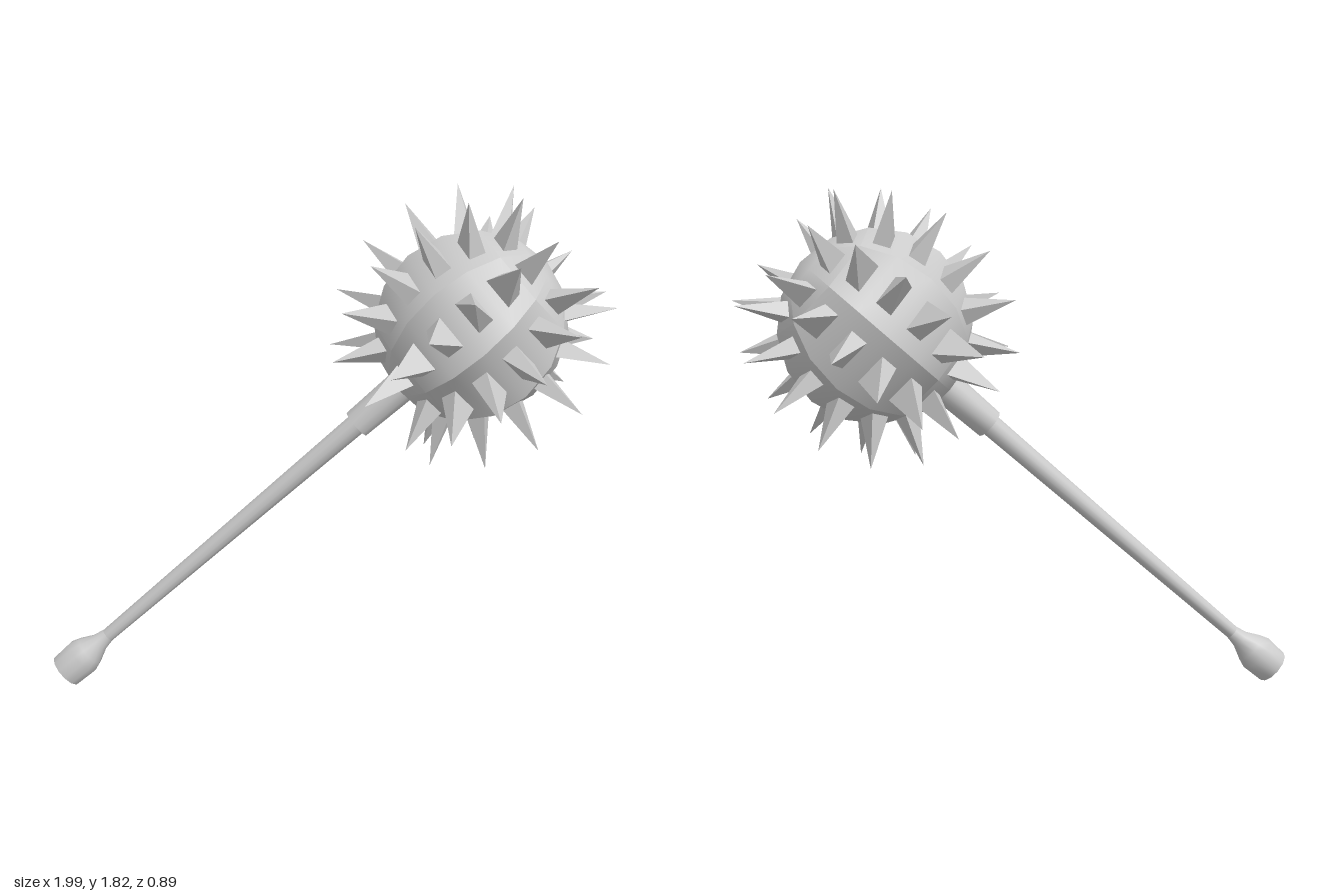
import * as THREE from 'three';
import { toCreasedNormals } from 'three/addons/utils/BufferGeometryUtils.js';

const R = 0.34;            // ball radius
const SIDES = 8;           // ball panels around and along the axis
const SPIKE_LENGTH = 0.18;
const BASE_SCALE = 0.48;   // spike base relative to its panel

// Point on the ball: theta from the top pole, phi around the axis
const onBall = (theta, phi) => new THREE.Vector3().setFromSphericalCoords(R, theta, phi);

// Four-sided spike raised from the middle of one ball panel
function spikeGeometry(row, col) {
  const t = Math.PI / SIDES, p = (2 * Math.PI) / SIDES;
  const corners = [[0, 0], [1, 0], [1, 1], [0, 1]]
    .map(([i, j]) => onBall((row + i) * t, (col + j) * p));
  const centre = new THREE.Vector3();
  corners.forEach((c) => centre.addScaledVector(c, 0.25));
  const normal = new THREE.Vector3().crossVectors(
    corners[2].clone().sub(corners[0]), corners[3].clone().sub(corners[1])).normalize();
  const tip = centre.clone().addScaledVector(normal, SPIKE_LENGTH);
  const base = corners.map((c) => c.clone().lerp(centre, 1 - BASE_SCALE));
  const points = [];
  for (let k = 0; k < 4; k++) points.push(base[k], base[(k + 1) % 4], tip);
  const geometry = new THREE.BufferGeometry().setFromPoints(points);
  geometry.computeVertexNormals();
  return geometry;
}

// Turned part from [radius, height] pairs, bottom to top
function turned(profile) {
  const points = profile.map(([r, y]) => new THREE.Vector2(r, y));
  return toCreasedNormals(new THREE.LatheGeometry(points, 12), THREE.MathUtils.degToRad(40));
}

export function createModel() {
  const model = new THREE.Group();
  model.name = 'spikedMace';
  const material = new THREE.MeshStandardMaterial({ color: 0xcccccc });
  const add = (parent, name, geometry) => {
    const mesh = new THREE.Mesh(geometry, material);
    mesh.name = name;
    parent.add(mesh);
  };

  // The mace is built upright around the ball centre, then leaned over
  const mace = new THREE.Group();
  mace.name = 'mace';
  mace.position.set(0.505, 1.35, 0);
  mace.rotation.z = -THREE.MathUtils.degToRad(48.4);
  model.add(mace);

  // Faceted ball
  add(mace, 'ball', toCreasedNormals(
    new THREE.SphereGeometry(R, SIDES, SIDES), THREE.MathUtils.degToRad(30)));

  // One spike on every panel except the pole caps
  const spikes = new THREE.Group();
  spikes.name = 'spikes';
  mace.add(spikes);
  for (let row = 1; row < SIDES - 1; row++)
    for (let col = 0; col < SIDES; col++) add(spikes, 'spike', spikeGeometry(row, col));

  // Handle: collar, tapered shaft and flared pommel
  add(mace, 'collar', turned([[0, -0.53], [0.054, -0.53], [0.06, -0.28], [0, -0.28]]));
  add(mace, 'shaft', turned([[0.025, -1.78], [0.039, -0.52]]));
  add(mace, 'pommel', turned([
    [0, -1.955], [0.066, -1.955], [0.07, -1.87], [0.058, -1.835], [0.034, -1.785], [0.025, -1.74],
  ]));
  return model;
}
